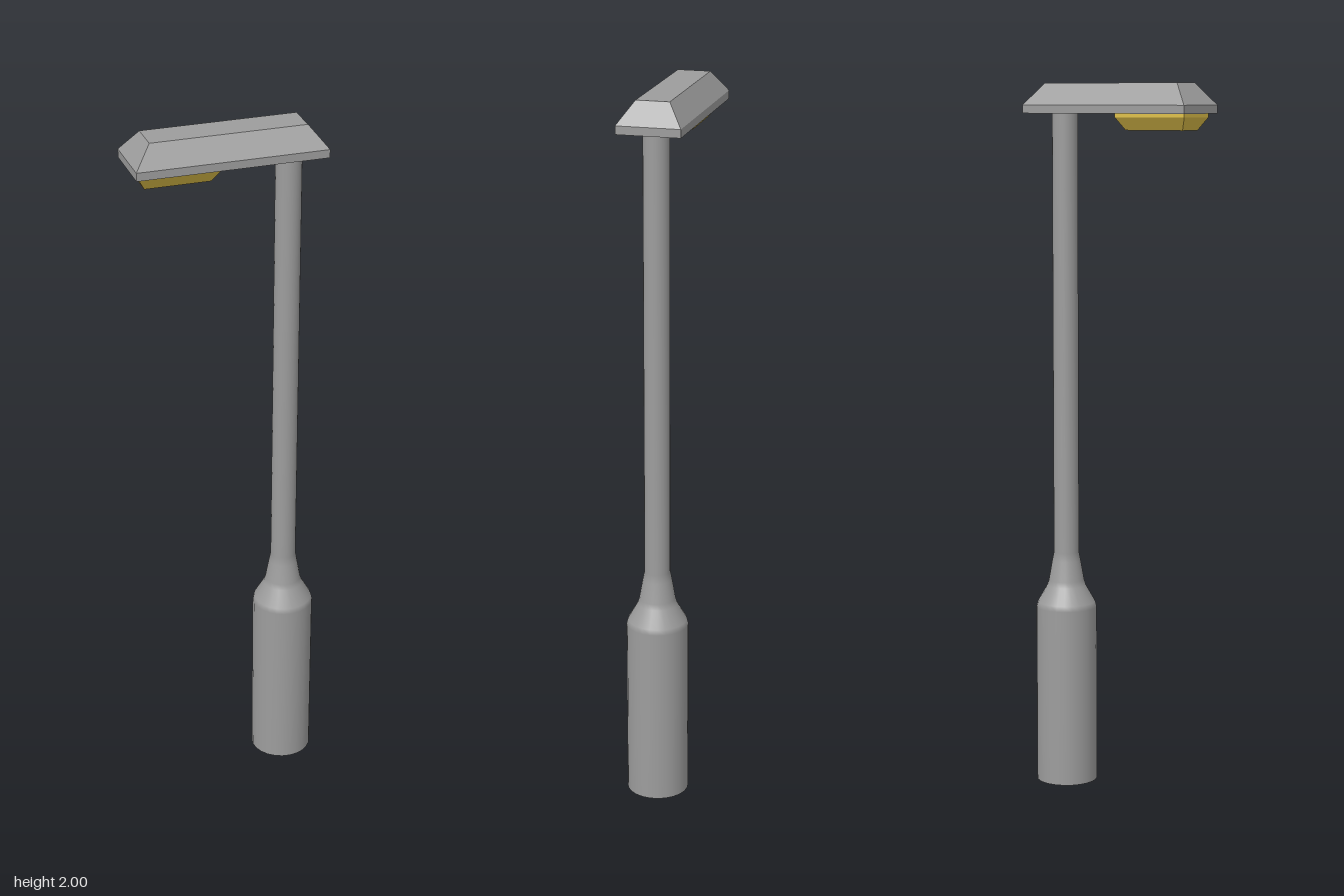
import * as THREE from 'three';

const grey = new THREE.MeshStandardMaterial({ color: 0x9d9d9d });
const greyFlat = new THREE.MeshStandardMaterial({ color: 0x9d9d9d, flatShading: true });
const amber = new THREE.MeshStandardMaterial({ color: 0xdfc04a, flatShading: true });

// Stack of rectangles from bottom to top; each level is [y, width, depth]
function taperedBox(levels) {
  const n = levels.length - 1;
  const geo = new THREE.BoxGeometry(1, 1, 1, 1, n, 1);
  const pos = geo.attributes.position;
  for (let i = 0; i < pos.count; i++) {
    const [y, w, d] = levels[Math.round((pos.getY(i) + 0.5) * n)];
    pos.setXYZ(i, pos.getX(i) * w, y, pos.getZ(i) * d);
  }
  geo.computeVertexNormals();
  return geo;
}

export function createModel() {
  const model = new THREE.Group();
  const add = (name, geo, mat, x) => {
    const mesh = new THREE.Mesh(geo, mat);
    mesh.name = name;
    mesh.position.x = x;
    model.add(mesh);
  };
  const poleX = 0.178;

  // Thick base flowing through a stepped neck into the slim pole
  const profile = [
    [0.087, 0], [0.087, 0.51], [0.083, 0.525], [0.056, 0.572], [0.051, 0.588],
    [0.041, 0.645], [0.036, 0.67], [0.036, 1.917],
  ].map(([r, y]) => new THREE.Vector2(r, y));
  add('pole', new THREE.LatheGeometry(profile, 24), grey, poleX);
  add('poleFoot', new THREE.CircleGeometry(0.087, 24).rotateX(Math.PI / 2), grey, poleX);

  // Lamp head: shallow rim with a hipped top
  add('lampHead', taperedBox([
    [1.917, 0.526, 0.176], [1.94, 0.526, 0.176], [2, 0.431, 0.092],
  ]), greyFlat, -0.002);

  // Amber lens under the far end of the head
  add('lens', taperedBox([
    [1.872, 0.182, 0.078], [1.907, 0.222, 0.126], [1.917, 0.222, 0.126],
  ]), amber, -0.14);

  return model;
}
